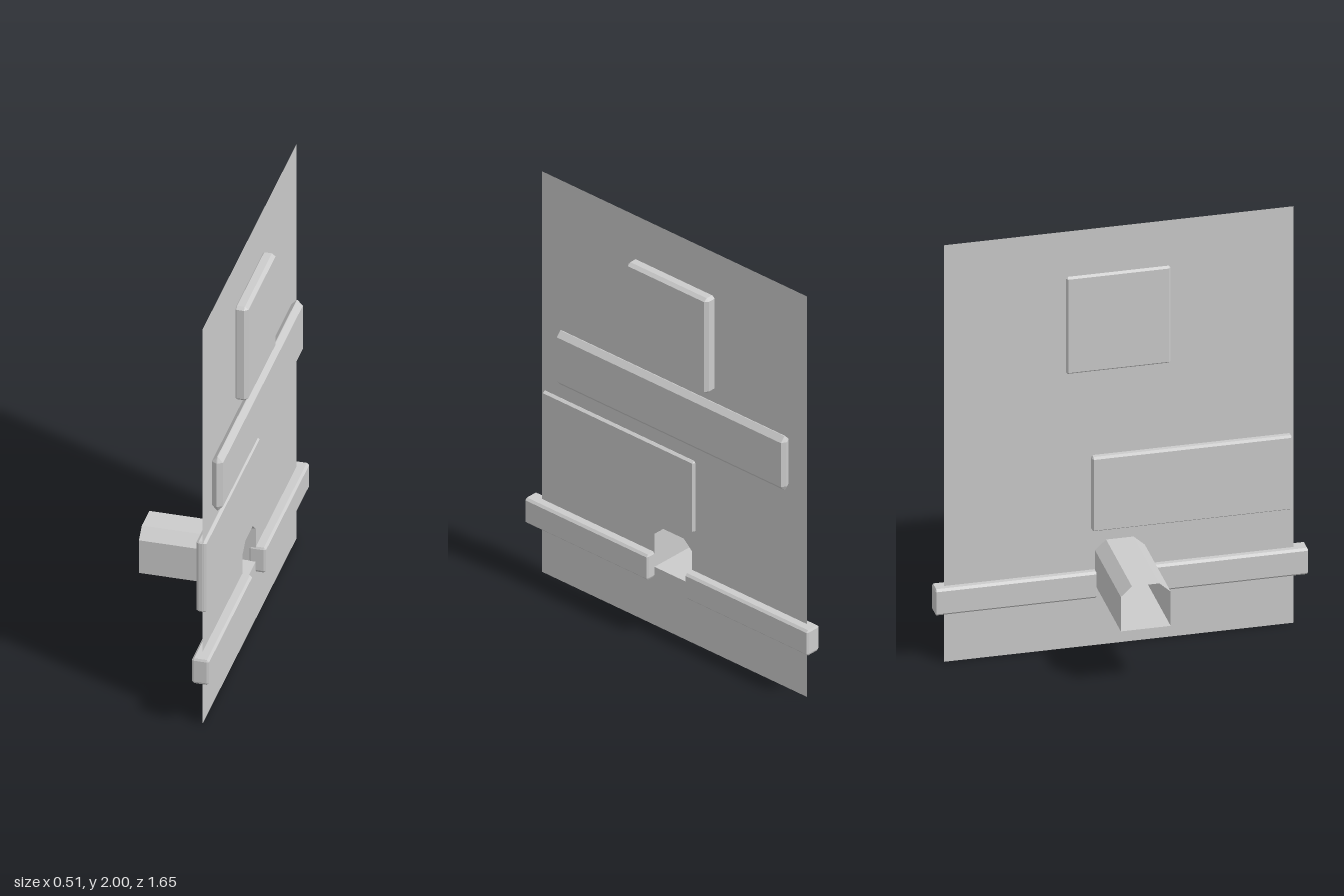
import * as THREE from 'three';
import { ConvexGeometry } from 'three/addons/geometries/ConvexGeometry.js';

const material = new THREE.MeshStandardMaterial({ color: 0xcccccc, flatShading: true });
const thin = new THREE.MeshStandardMaterial({ color: 0xcccccc, flatShading: true, side: THREE.DoubleSide });

// Box with chamfered edges, given by its ranges [min, max] and the chamfer per axis
function chamferedBox(name, x, y, z, chamfer) {
  const ranges = [x, y, z];
  const half = ranges.map(([a, b]) => (b - a) / 2);
  const points = [];
  for (const sx of [-1, 1]) for (const sy of [-1, 1]) for (const sz of [-1, 1]) {
    for (let axis = 0; axis < 3; axis++) {
      const p = half.map((h, i) => (i === axis ? h : h - chamfer[i]));
      points.push(new THREE.Vector3(p[0] * sx, p[1] * sy, p[2] * sz));
    }
  }
  const mesh = new THREE.Mesh(new ConvexGeometry(points), material);
  mesh.position.set(...ranges.map(([a, b]) => (a + b) / 2));
  mesh.name = name;
  return mesh;
}

export function createModel() {
  const model = new THREE.Group();
  model.name = 'wallPanel';
  const wallX = 0.2, tunnelEnd = -0.26;

  // Opening outline as (z, y), with chamfered top corners
  const opening = [[-0.112, 0.29], [0.108, 0.29], [0.108, 0.455], [0.058, 0.5], [-0.063, 0.5], [-0.112, 0.455]];

  // Thin wall with the opening cut out; shape x is turned to run along -z
  const toShape = ([z, y]) => new THREE.Vector2(-z, y);
  const outline = [[0.765, 0], [-0.78, 0], [-0.78, 2], [0.765, 2]];
  const wallShape = new THREE.Shape(outline.map(toShape));
  wallShape.holes.push(new THREE.Path(opening.map(toShape)));
  const wall = new THREE.Mesh(new THREE.ShapeGeometry(wallShape), thin);
  wall.rotation.y = Math.PI / 2;
  wall.position.x = wallX;
  wall.name = 'wall';
  model.add(wall);

  // Open-ended tunnel running back from the opening
  const vertices = [];
  opening.forEach(([z0, y0], i) => {
    const [z1, y1] = opening[(i + 1) % opening.length];
    const a = [wallX, y0, z0], b = [wallX, y1, z1];
    const c = [tunnelEnd, y1, z1], d = [tunnelEnd, y0, z0];
    vertices.push(...a, ...c, ...b, ...a, ...d, ...c);
  });
  const tunnelGeometry = new THREE.BufferGeometry();
  tunnelGeometry.setAttribute('position', new THREE.Float32BufferAttribute(vertices, 3));
  tunnelGeometry.computeVertexNormals();
  const tunnel = new THREE.Mesh(tunnelGeometry, thin);
  tunnel.name = 'tunnel';
  model.add(tunnel);

  // Raised panels
  model.add(
    chamferedBox('upperPanel', [0.189, 0.255], [1.312, 1.786], [-0.245, 0.226], [0.016, 0.013, 0.013]),
    chamferedBox('middlePanel', [0.205, 0.255], [1.005, 1.275], [-0.692, 0.64], [0.023, 0.025, 0.013]),
    chamferedBox('lowerPanel', [0.168, 0.214], [0.557, 0.913], [-0.13, 0.752], [0.012, 0.008, 0.006])
  );

  // Base rails on either side of the opening
  const railX = [0.168, 0.245], railY = [0.238, 0.364], railChamfer = [0.01, 0.01, 0.005];
  model.add(
    chamferedBox('frontRail', railX, railY, [0.109, 0.824], railChamfer),
    chamferedBox('backRail', railX, railY, [-0.824, -0.109], railChamfer)
  );
  return model;
}
